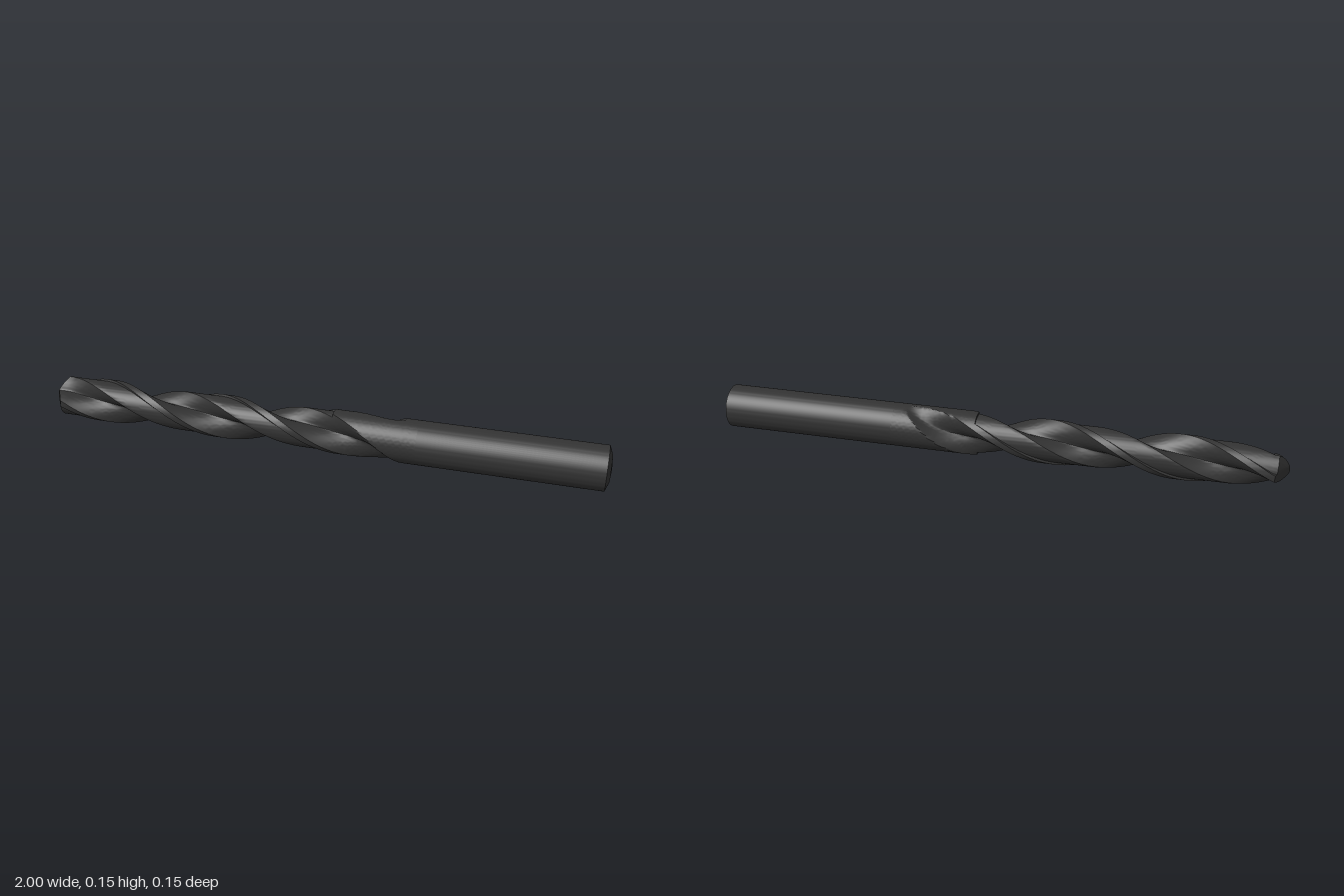
import * as THREE from 'three';
import { toCreasedNormals } from 'three/addons/utils/BufferGeometryUtils.js';

const R = 0.077;          // full radius
const CLEAR = 0.0695;     // relieved land radius
const CORE = 0.021;       // web radius at the flute centre
const HALF_PITCH = 0.45;  // length of a half turn
const STEP_X = 0.06;      // where the land relief ends
const BODY_END = 0.36;    // where the flutes have run out
const LEAD = 60, HEEL = -50, MARGIN = 78; // section angles in degrees
const rad = THREE.MathUtils.degToRad;
const lerp = THREE.MathUtils.lerp;

// Angles of one half of the section: flute, then margin, then land
function halfSection() {
  const a = [];
  for (let i = 0; i < 24; i++) a.push(lerp(HEEL, LEAD, i / 24));
  a.push(LEAD, 66, 72, MARGIN, MARGIN + 2);
  for (let i = 1; i < 10; i++) a.push(lerp(MARGIN + 2, 180 + HEEL, i / 10));
  return a;
}

// Radius of the section at angle a; the flute gets shallower towards the shank
function radius(a, x, relieved) {
  const run = Math.max(0, (x - 0.08) / 0.24);
  const land = relieved && (a < LEAD - 15 || a > MARGIN + 1) ? CLEAR : R;
  if (a > LEAD) return land;
  const t = a > 0 ? a / LEAD : a / HEEL;
  const flute = CORE + (R - CORE) * Math.pow(Math.abs(t), 1.8) + 0.058 * run * run;
  return Math.min(a > 0 ? R : land, flute);
}

// Height of the ground point over the section: a cone with a short chisel edge
function pointX(a, r) {
  const u = r * Math.cos(rad(a - LEAD));
  const v = Math.max(0, Math.abs(r * Math.sin(rad(a - LEAD))) - 0.012);
  return -1 + 0.62 * Math.hypot(u, v * 1.1);
}

const twist = (x) => Math.PI / 2 + ((Math.max(x, -0.95) - 0.125) / HALF_PITCH) * Math.PI;

function flutedBodyGeometry() {
  const half = halfSection();
  const n = half.length * 2;
  const pos = [], index = [];
  let rows = 0;
  const addRow = (place) => {
    for (let j = 0; j < n; j++) {
      const a = half[j % half.length];
      const [x, r] = place(a);
      const phi = twist(x) + rad(a) + (j < half.length ? 0 : Math.PI);
      pos.push(x, R + r * Math.cos(phi), r * Math.sin(phi));
    }
    rows++;
  };
  // Ground point, from the centre outwards
  for (let k = 0; k <= 6; k++) {
    addRow((a) => {
      const r = (radius(a, -1, true) * k) / 6;
      return [pointX(a, r), r];
    });
  }
  // Relieved fluted length
  const start = -0.9;
  for (let k = 1; k <= 4; k++) {
    addRow((a) => {
      const r = radius(a, -1, true);
      return [lerp(pointX(a, r), start, k / 4), r];
    });
  }
  for (let k = 1; k <= 80; k++) {
    const x = lerp(start, STEP_X, k / 80);
    addRow((a) => [x, radius(a, x, true)]);
  }
  // Step up to full radius and flute run-out
  for (let k = 0; k <= 36; k++) {
    const x = lerp(STEP_X, BODY_END, k / 36);
    addRow((a) => [x, radius(a, x, false)]);
  }
  for (let i = 0; i < rows - 1; i++) {
    for (let j = 0; j < n; j++) {
      const k = (j + 1) % n;
      const a = i * n + j, b = i * n + k, c = a + n, d = b + n;
      index.push(a, b, c, b, d, c);
    }
  }
  const g = new THREE.BufferGeometry();
  g.setAttribute('position', new THREE.Float32BufferAttribute(pos, 3));
  g.setIndex(index);
  return toCreasedNormals(g, 0.5);
}

function shankGeometry() {
  const profile = [[R, BODY_END], [R, 0.985], [0.045, 0.997], [0, 1]]
    .map(([r, x]) => new THREE.Vector2(r, x));
  const g = new THREE.LatheGeometry(profile, 72);
  g.rotateZ(-Math.PI / 2);
  g.translate(0, R, 0);
  return toCreasedNormals(g, 0.5);
}

export function createModel() {
  const group = new THREE.Group();
  group.name = 'twistDrill';
  const steel = new THREE.MeshStandardMaterial({ color: 0x333333 });
  const add = (name, geometry) => {
    const mesh = new THREE.Mesh(geometry, steel);
    mesh.name = name;
    group.add(mesh);
  };
  add('flutedBody', flutedBodyGeometry());
  add('shank', shankGeometry());
  return group;
}
